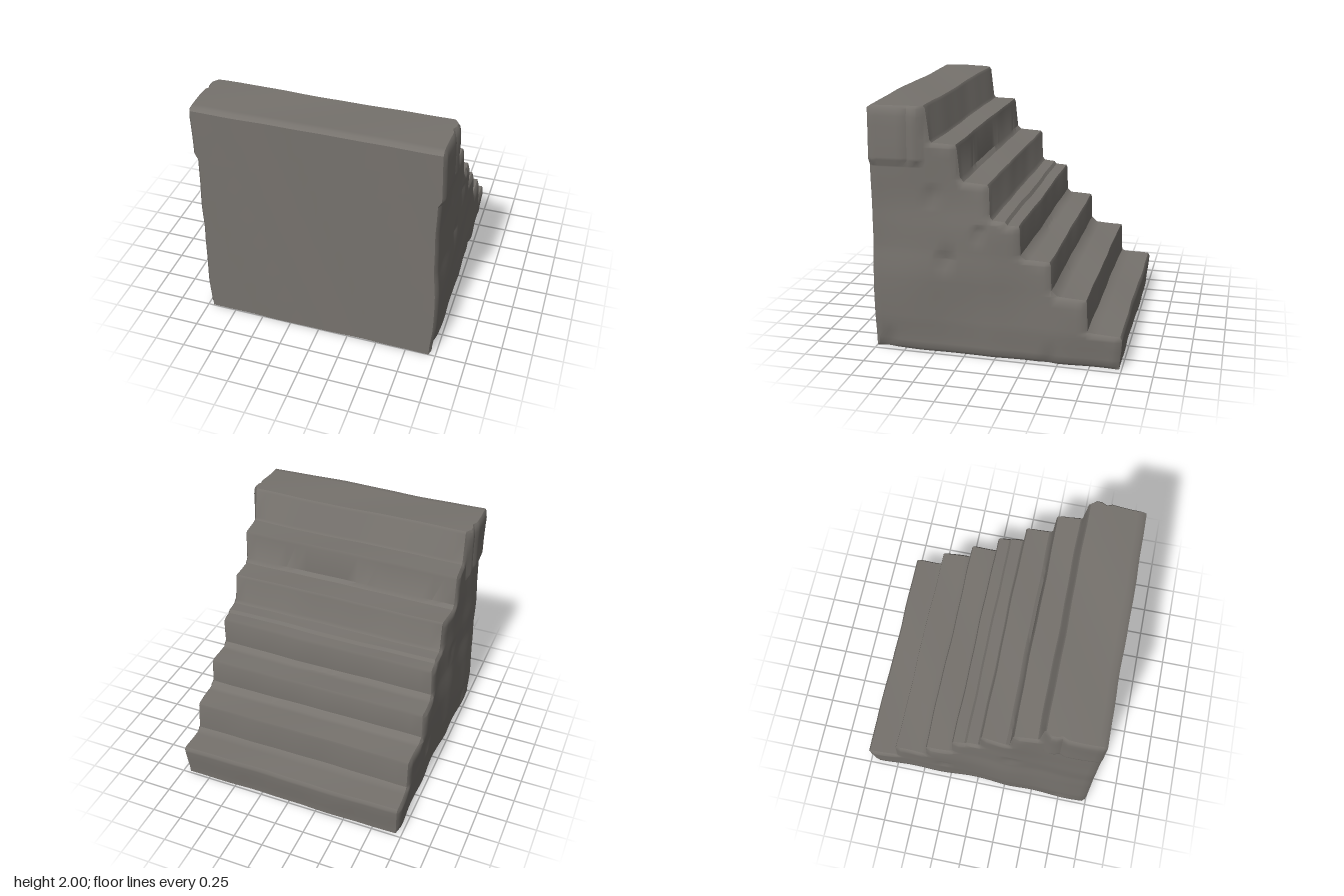
import * as THREE from 'three';
import { toCreasedNormals } from 'three/addons/utils/BufferGeometryUtils.js';

// Stair outline from the tall front wall down to the low back, as [z, y]
const outline = [
  [1, 1.98], [0.97, 2], [0.55, 2], [0.535, 1.98], [0.505, 1.74], [0.49, 1.72],
  [0.31, 1.715], [0.3, 1.69], [0.28, 1.46], [0.25, 1.43],
  [0.06, 1.42], [0.048, 1.4], [0.04, 1.17], [0.02, 1.145], [-0.08, 1.135], [-0.1, 1.11],
  [-0.19, 1.105], [-0.2, 1.08], [-0.205, 0.87], [-0.24, 0.84],
  [-0.43, 0.835], [-0.44, 0.81], [-0.445, 0.61], [-0.49, 0.57],
  [-0.72, 0.56], [-0.725, 0.54], [-0.735, 0.31], [-0.77, 0.295],
  [-0.985, 0.285], [-1, 0.26],
];

// Chipped dents in the side faces: [side, z, y, radius, depth]
const dents = [
  [1, 0.4, 0.8, 0.1, 0.025], [1, 0.12, 1.04, 0.07, 0.025], [1, 0.5, 1.3, 0.09, 0.02],
  [-1, 0.3, 1.0, 0.1, 0.02], [-1, -0.3, 0.4, 0.09, 0.02], [-1, 0.75, 0.15, 0.09, 0.025],
  [1, -0.42, 0.04, 0.08, 0.02], [1, 0.9, 0.05, 0.08, 0.03],
];

const smooth = THREE.MathUtils.smoothstep;

// Distance from a side-face point to the nearest outline edge
function edgeDistance(z, y) {
  let best = Math.min(y, 1 - z, z + 1);
  for (let i = 0; i + 1 < outline.length; i++) {
    const [az, ay] = outline[i], [bz, by] = outline[i + 1];
    const dz = bz - az, dy = by - ay;
    const t = THREE.MathUtils.clamp(((z - az) * dz + (y - ay) * dy) / (dz * dz + dy * dy), 0, 1);
    best = Math.min(best, Math.hypot(z - az - t * dz, y - ay - t * dy));
  }
  return Math.max(best, 0);
}

// Half width of the weathered block, with worn edges
function halfWidth(side, z, y) {
  let w = 0.963 + 0.012 * smooth(z, 0.1, 0.35);
  w += 0.006 * Math.sin(11 * z + side) + 0.006 * Math.sin(6 * y + 2 * side + 3 * z);
  w += 0.012 * smooth(y, 0.05, 0.3) * (1 - smooth(y, 0.65, 0.9));
  w -= 0.012 * smooth(y, 1.0, 1.3);
  if (z > 0.55) w += 0.028 * smooth(y, 1.53, 1.58);
  if (Math.abs(z - 0.69) < 0.015) w -= 0.018 * smooth(y, 1.53, 1.58);
  for (const [s, dz, dy, r, depth] of dents) {
    if (s === side) w -= depth * Math.max(0, 1 - Math.hypot(z - dz, y - dy) / r);
  }
  return Math.min(w, 1) - 0.022 * Math.max(0, 1 - edgeDistance(z, y) / 0.03);
}

// Place a point: s runs from -1 to 1 across the width
function place(s, z, y) {
  const side = s < 0 ? -1 : 1;
  const x = s * halfWidth(side, z, y);
  const wave = Math.sin(5 * s + 9 * z + 2 * y) + 0.5 * Math.sin(13 * s + 5 * y);
  let pz = z + 0.004 * (wave - 0.8) * Math.sign(z) * (Math.abs(z) > 0.9 ? 1 : 0.8);
  if (z < -0.9) pz += 0.02 * (1 - smooth(y, 0, 0.25));
  const py = y + 0.004 * (Math.sin(4 * s + 7 * z) - 0.6) * smooth(y, 0, 0.2);
  return [x, py, THREE.MathUtils.clamp(pz, -1, 1)];
}

function buildStairs() {
  // Columns along the stair, adding points on the long treads
  const columns = [];
  outline.forEach(([z, y], i) => {
    columns.push([z, y]);
    if (i + 1 === outline.length) return;
    const [nz, ny] = outline[i + 1];
    const n = Math.max(1, Math.ceil((z - nz) / 0.045));
    for (let k = 1; k < n; k++) columns.push([z + (nz - z) * k / n, y + (ny - y) * k / n]);
  });

  // Row heights shared by the side faces and the end walls
  const levels = [0, 0.03, 1.53, 1.58, ...outline.map((p) => p[1])];
  for (let y = 0.08; y < 2; y += 0.08) levels.push(y);
  levels.sort((a, b) => a - b);

  // Closed cross-section: front wall up, steps down, back up to the base, underside
  const wall = (h) => [...new Set(levels.map((l) => Math.min(l, h)))];
  const first = columns[0], last = columns[columns.length - 1];
  const ring = [
    ...wall(first[1]).map((y) => [1, y]),
    ...columns.slice(1),
    ...wall(last[1]).reverse().slice(1).map((y) => [-1, y]),
    ...columns.slice(0, -1).reverse().map(([z]) => [z, 0]),
  ];

  const positions = [];
  const same = (a, b) => Math.hypot(a[0] - b[0], a[1] - b[1], a[2] - b[2]) < 1e-6;
  const tri = (a, b, c) => {
    if (!same(a, b) && !same(b, c) && !same(a, c)) positions.push(...a, ...b, ...c);
  };
  const quad = (a, b, c, d) => { tri(a, b, c); tri(a, c, d); };

  // Treads, risers, walls and underside
  const spans = 20;
  const sections = [];
  for (let k = 0; k <= spans; k++) {
    const s = -1 + 2 * k / spans;
    sections.push(ring.map(([z, y]) => place(s, z, y)));
  }
  for (let k = 0; k < spans; k++) {
    for (let i = 0; i + 1 < ring.length; i++) {
      quad(sections[k][i], sections[k + 1][i], sections[k + 1][i + 1], sections[k][i + 1]);
    }
  }

  // Rough side faces
  for (const side of [1, -1]) {
    const grid = columns.map(([z, h]) => levels.map((l) => place(side, z, Math.min(l, h))));
    for (let c = 0; c + 1 < grid.length; c++) {
      for (let j = 0; j + 1 < levels.length; j++) {
        const p = [grid[c][j], grid[c + 1][j], grid[c + 1][j + 1], grid[c][j + 1]];
        if (side < 0) p.reverse();
        quad(...p);
      }
    }
  }

  const geometry = new THREE.BufferGeometry();
  geometry.setAttribute('position', new THREE.Float32BufferAttribute(positions, 3));
  return toCreasedNormals(geometry, 0.7);
}

export function createModel() {
  const stone = new THREE.MeshStandardMaterial({ color: 0x76726d });
  stone.name = 'grey stone';
  const stairs = new THREE.Mesh(buildStairs(), stone);
  stairs.name = 'stoneStairs';
  const group = new THREE.Group();
  group.name = 'stoneStaircase';
  group.add(stairs);
  return group;
}
